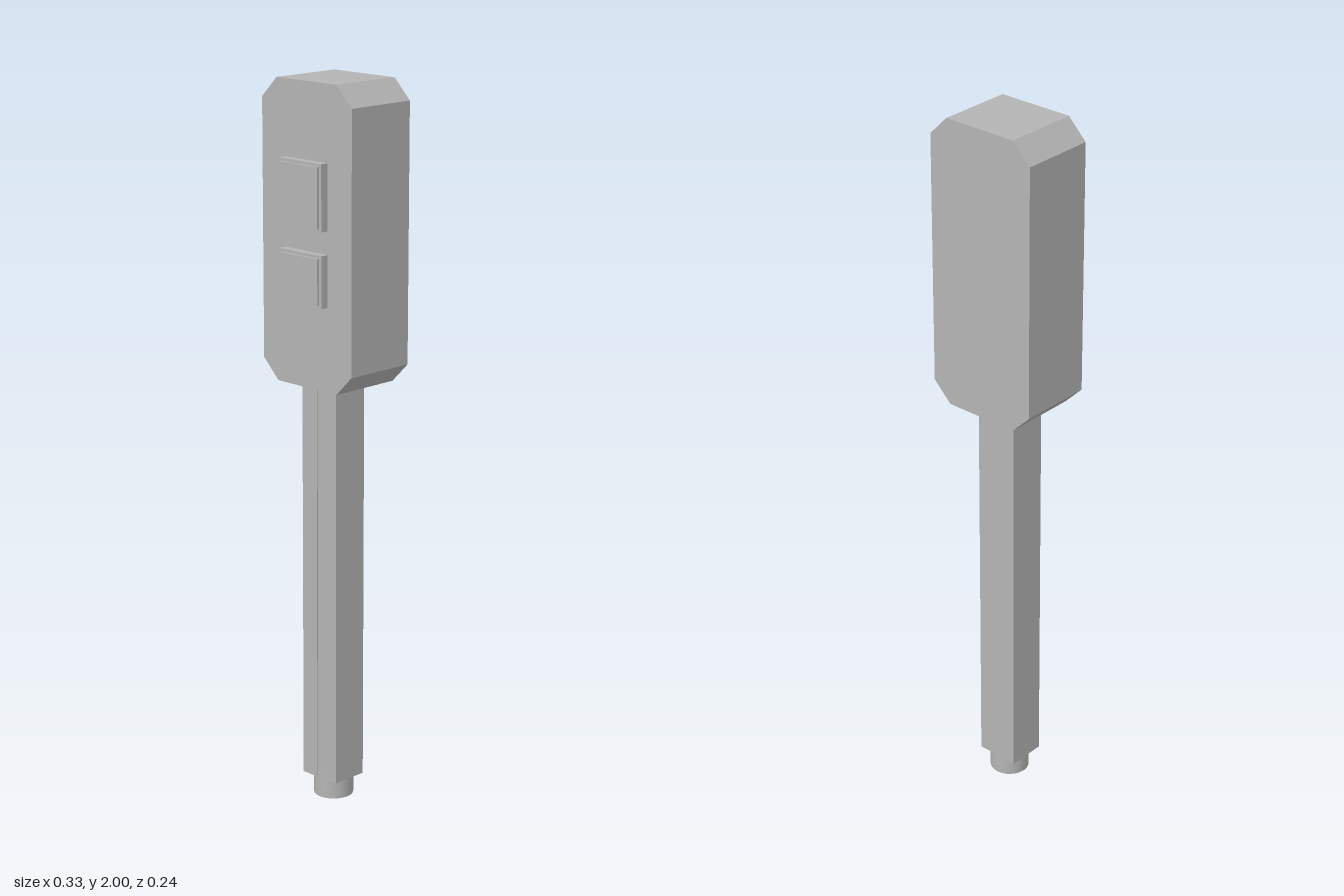
import * as THREE from 'three';

export function createModel() {
  const group = new THREE.Group();
  const grey = new THREE.MeshStandardMaterial({ color: 0xb4b4b4 });
  grey.name = 'grey';

  const add = (name, geometry) => {
    const mesh = new THREE.Mesh(geometry, grey);
    mesh.name = name;
    group.add(mesh);
  };
  // Box given by its limits on each axis
  const box = (name, x0, x1, y0, y1, z0, z1) => add(name,
    new THREE.BoxGeometry(x1 - x0, y1 - y0, z1 - z0)
      .translate((x0 + x1) / 2, (y0 + y1) / 2, (z0 + z1) / 2));

  // Head: block with chamfered corners
  const w = 0.165, c = 0.055, bottom = 1.19, top = 2;
  const outline = new THREE.Shape([
    [-w + c, bottom], [w - c, bottom], [w, bottom + c], [w, top - c],
    [w - c, top], [-w + c, top], [-w, top - c], [-w, bottom + c],
  ].map(([x, y]) => new THREE.Vector2(x, y)));
  add('head', new THREE.ExtrudeGeometry(outline, { depth: 0.212, bevelEnabled: false })
    .translate(0, 0, -0.122));

  // Two stepped buttons on the front
  for (const [name, y0, y1] of [['upperButton', 1.62, 1.797], ['lowerButton', 1.418, 1.558]]) {
    box(name + 'Base', -0.08, 0.078, y0, y1, 0.09, 0.113);
    box(name + 'Cap', -0.072, 0.07, y0 + 0.008, y1 - 0.008, 0.113, 0.12);
  }

  // Handle: two halves with a fine step between them
  box('handleLeftHalf', -0.01, 0.06, 0.057, bottom, -0.065, 0.041);
  box('handleRightHalf', -0.065, -0.01, 0.057, bottom, -0.068, 0.044);

  // Round foot
  add('foot', new THREE.CylinderGeometry(0.055, 0.055, 0.07, 24).translate(-0.002, 0.035, -0.012));

  return group;
}
